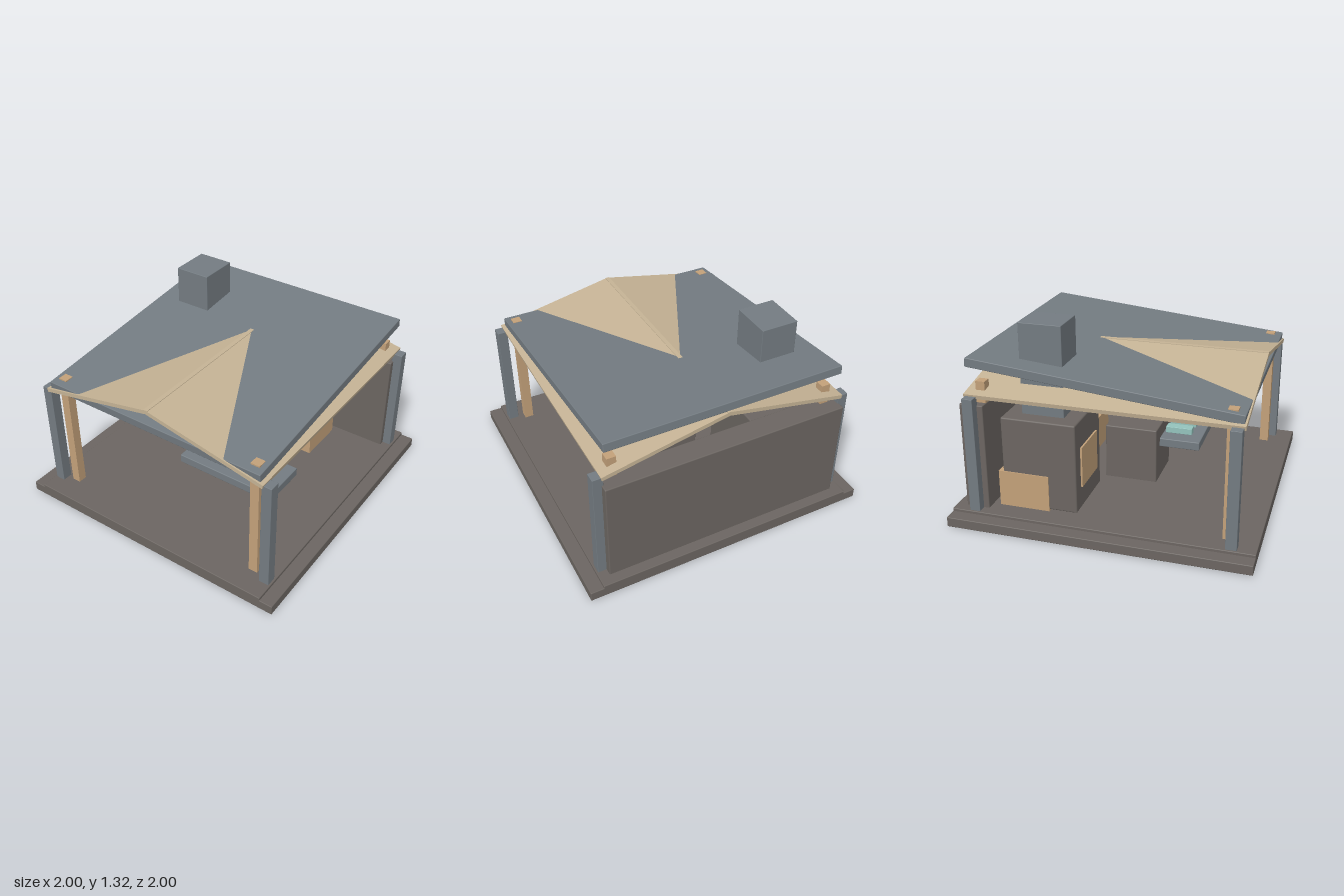
import * as THREE from 'three';
import { RoundedBoxGeometry } from 'three/addons/geometries/RoundedBoxGeometry.js';

const material = (color) => new THREE.MeshStandardMaterial({ color });

export function createModel() {
  const model = new THREE.Group();
  const stone = material(0x6b6561);
  const slate = material(0x737b81);
  const wood = material(0xc2a079);
  const thatch = material(0xc4b294);
  const teal = material(0x93c2bc);

  // Box given by its extents on each axis; a bevel softens its edges
  function block(name, mat, [x0, x1], [y0, y1], [z0, z1], bevel = 0) {
    const size = [x1 - x0, y1 - y0, z1 - z0];
    const geometry = bevel
      ? new RoundedBoxGeometry(...size, 2, bevel)
      : new THREE.BoxGeometry(...size);
    const mesh = new THREE.Mesh(geometry, mat);
    mesh.name = name;
    mesh.position.set((x0 + x1) / 2, (y0 + y1) / 2, (z0 + z1) / 2);
    model.add(mesh);
    return mesh;
  }

  // Floor and back wall
  block('base', stone, [-1, 1], [0, 0.067], [-1, 1], 0.005);
  block('floor', stone, [-0.91, 0.91], [0.04, 0.087], [-1, 1], 0.005);
  block('backWall', stone, [-0.84, 0.84], [0.08, 0.81], [-0.93, -0.77], 0.007);

  // Outer slate posts and inner wooden posts at the four corners
  for (const side of [-1, 1]) {
    for (const end of [-1, 1]) {
      const x = side * 0.863, z = end * 0.845;
      block('cornerPost', slate, [x - 0.035, x + 0.035], [0.08, 0.87], [z - 0.036, z + 0.036], 0.003);
      const wx = side * 0.753, wz = end * 0.803;
      block('woodenPost', wood, [wx - 0.031, wx + 0.031], [0.08, 0.953], [wz - 0.031, wz + 0.031]);
    }
  }

  // Gable roof: two tilted panels meeting at a ridge
  const pitch = 0.2;
  for (const side of [-1, 1]) {
    const panel = block('gablePanel', thatch, [-0.43, 0.43], [-0.0135, 0.0135], [-0.893, 0.893]);
    panel.position.set(side * 0.422, 0.954, 0);
    panel.rotation.z = -side * pitch;
  }
  block('ridge', thatch, [-0.015, 0.015], [1.027, 1.054], [-0.893, 0.893]);

  // Sloping slab roof, low at the front and crossing the gable
  const slab = block('slabRoof', slate, [-0.82, 0.82], [-0.03, 0.03], [-0.886, 0.886], 0.005);
  slab.position.y = 0.997;
  slab.rotation.x = 0.1;

  // Furnace with chimney and glowing mouth
  block('furnace', stone, [-0.765, -0.3], [0.098, 0.713], [-0.69, -0.185], 0.01);
  block('chimney', slate, [-0.662, -0.405], [0.6, 1.322], [-0.582, -0.295], 0.004);
  block('furnaceMouth', wood, [-0.68, -0.387], [0.25, 0.527], [-0.22, -0.173]);

  // Work block and table with a row of small bars
  block('workBlock', stone, [-0.182, 0.18], [0.08, 0.475], [-0.18, 0.185], 0.008);
  block('tableTop', slate, [-0.092, 0.638], [0.322, 0.383], [0.13, 0.465], 0.006);
  for (let i = 0; i < 4; i++) {
    const x = 0.035 + i * 0.135;
    block('bar', teal, [x - 0.033, x + 0.033], [0.39, 0.435], [0.205, 0.39], 0.003);
  }

  // Storage crates along the back wall
  for (const x of [-0.6, -0.16, 0.283]) {
    block('crate', wood, [x - 0.172, x + 0.172], [0.083, 0.335], [-0.72, -0.375]);
  }

  return model;
}
